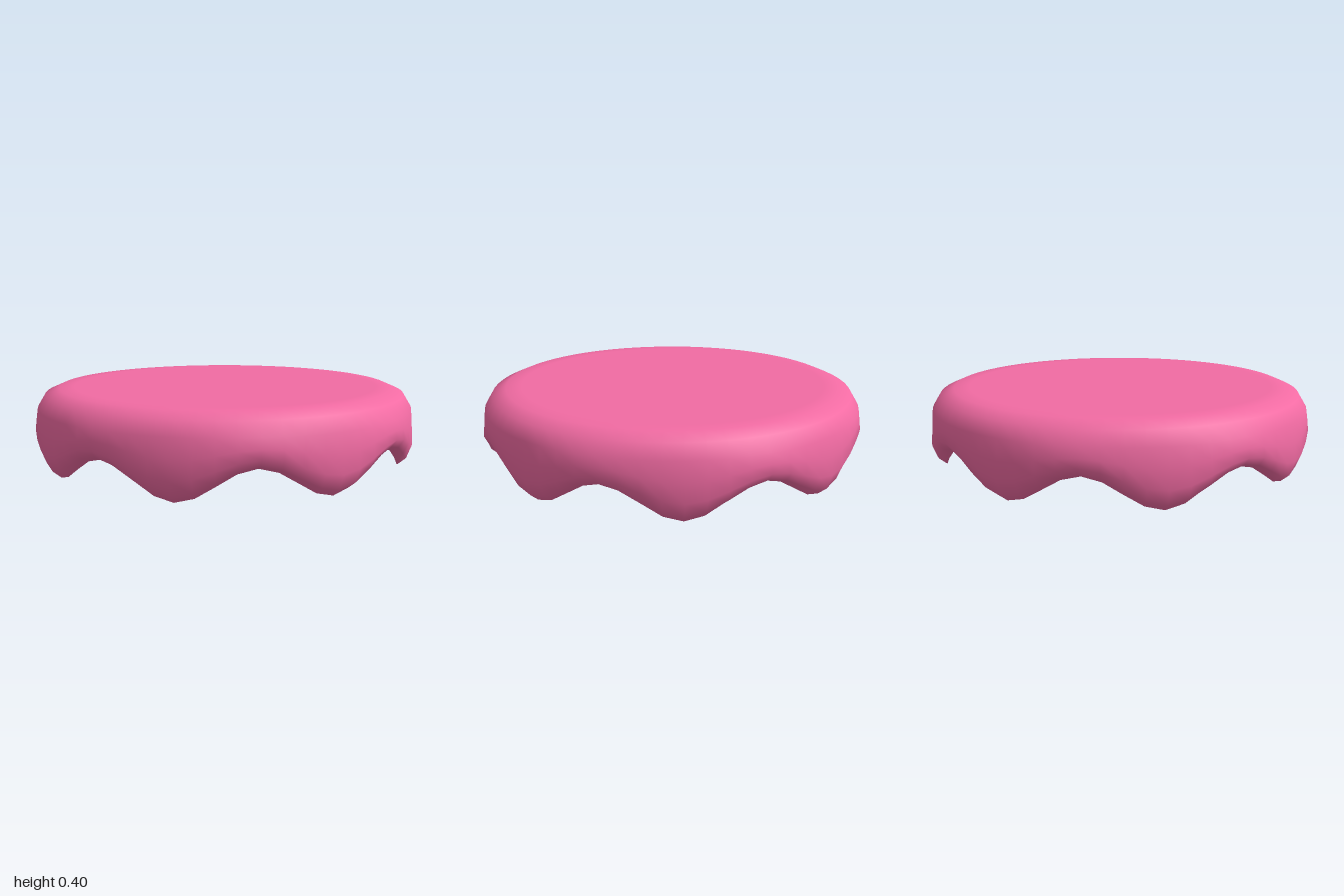
import * as THREE from 'three';
import { mergeVertices } from 'three/addons/utils/BufferGeometryUtils.js';

const DRIPS = 8;
const SHOULDER = 0.3; // height below which the skirt follows the wave
const LIFT = 0.155; // how far the edge rises between two drips

export function createModel() {
  const group = new THREE.Group();
  group.name = 'dripIcing';

  // Profile through the tip of a drip, from the curled edge up to the centre
  const profile = [
    [0.93, 0], [0.972, 0.035], [1, 0.11], [0.994, 0.2], [0.986, SHOULDER],
    [0.945, 0.368], [0.875, 0.398], [0.8, 0.4], [0, 0.4],
  ].map(([r, y]) => new THREE.Vector2(r, y));

  let geometry = new THREE.LatheGeometry(profile, 64);

  // Squeeze the skirt upward between the drips to scallop its edge
  const p = geometry.attributes.position;
  for (let i = 0; i < p.count; i++) {
    const y = p.getY(i);
    if (y >= SHOULDER) continue;
    const angle = Math.atan2(p.getX(i), p.getZ(i));
    const wave = 0.5 - 0.5 * Math.cos(DRIPS * angle);
    p.setY(i, y + wave * LIFT * (1 - y / SHOULDER));
  }

  // Weld the seam so the shading is smooth all round
  geometry.deleteAttribute('uv');
  geometry.deleteAttribute('normal');
  geometry = mergeVertices(geometry, 1e-4);
  geometry.computeVertexNormals();

  // Thin icing sheet, open underneath
  const icing = new THREE.Mesh(
    geometry,
    new THREE.MeshStandardMaterial({ color: 0xf26ba3, side: THREE.DoubleSide })
  );
  icing.name = 'icing';
  group.add(icing);
  return group;
}
